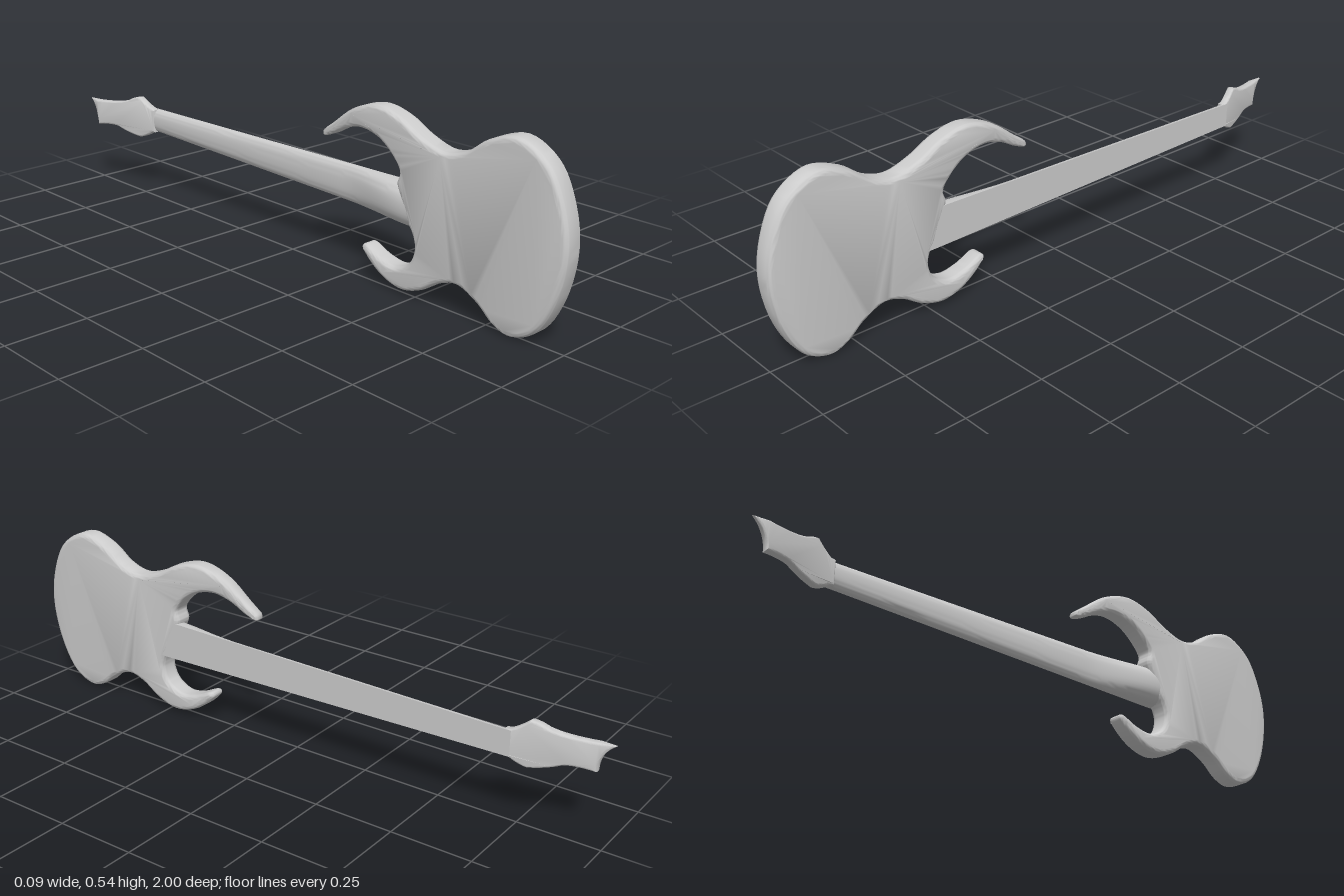
import * as THREE from 'three';
import { toCreasedNormals } from 'three/addons/utils/BufferGeometryUtils.js';

const material = new THREE.MeshStandardMaterial({ color: 0xcccccc, side: THREE.DoubleSide });
const FACE = 0.046; // x of the flat playing side
const BACK = -0.023; // x of the body's back

// Moves every vertex by a rule, then smooths normals up to the crease angle
function reshape(geometry, rule, crease) {
  const p = geometry.attributes.position;
  const v = new THREE.Vector3();
  for (let i = 0; i < p.count; i++) {
    rule(v.fromBufferAttribute(p, i));
    p.setXYZ(i, v.x, v.y, v.z);
  }
  geometry.deleteAttribute('normal');
  geometry.computeVertexNormals();
  return toCreasedNormals(geometry, crease);
}

// Extrudes a side profile (drawn with -z as its first axis) between two x values, edges rounded inwards
function slab(shape, x0, x1, bevelSize, bevelThickness, steps = 5) {
  const g = new THREE.ExtrudeGeometry(shape, {
    depth: x1 - x0 - 2 * bevelThickness, curveSegments: 10,
    bevelEnabled: true, bevelSize, bevelThickness, bevelOffset: -bevelSize, bevelSegments: steps,
  });
  g.translate(0, 0, x0 + bevelThickness);
  g.rotateY(Math.PI / 2);
  return g;
}

function makeBody() {
  // Outline as [z, y]: rear bouts, upper horn, neck joint, lower horn
  const outline = [
    [1, 0.275], [0.982, 0.39], [0.93, 0.49], [0.835, 0.541], [0.74, 0.515], [0.67, 0.468],
    [0.6, 0.45], [0.52, 0.472], [0.44, 0.512], [0.355, 0.53], [0.26, 0.503], [0.18, 0.447],
    [0.132, 0.409], [0.134, 0.397], [0.17, 0.407], [0.23, 0.438], [0.29, 0.452], [0.36, 0.438],
    [0.415, 0.4], [0.444, 0.36], [0.435, 0.328], [0.445, 0.3], [0.465, 0.26], [0.48, 0.22],
    [0.497, 0.193], [0.506, 0.155], [0.487, 0.107], [0.435, 0.08], [0.375, 0.089],
    [0.313, 0.114], [0.304, 0.105], [0.33, 0.073], [0.39, 0.034], [0.46, 0.018], [0.53, 0.037],
    [0.6, 0.079], [0.66, 0.093], [0.73, 0.062], [0.78, 0.022], [0.835, 0.004], [0.91, 0.034],
    [0.97, 0.13],
  ];
  const curve = new THREE.CatmullRomCurve3(
    outline.map(([z, y]) => new THREE.Vector3(-z, y, 0)), true, 'centripetal');
  const shape = new THREE.Shape(curve.getPoints(220).slice(0, -1).map((p) => new THREE.Vector2(p.x, p.y)));
  // The horns grow thinner towards their tips
  const g = reshape(slab(shape, BACK, FACE, 0.015, 0.016, 6), (v) => {
    const t = THREE.MathUtils.clamp((v.z - 0.12) / 0.43, 0, 1);
    const scale = 1 - 0.48 * (1 - t) ** 2;
    v.x = 0.01 + (v.x - 0.01) * scale;
  }, 0.7);
  return new THREE.Mesh(g, material);
}

function makeNeck() {
  // D-shaped sections: flat fingerboard, round back deepening into the heel
  const rings = 40, sides = 18;
  const pos = [], index = [];
  for (let i = 0; i <= rings; i++) {
    const z = i < 26 ? 0.6 - i * 0.02 : 0.1 - ((i - 25) / (rings - 25)) * 0.835;
    const k = THREE.MathUtils.clamp((0.47 - z) / 1.19, 0, 1);
    const half = THREE.MathUtils.lerp(0.061, 0.039, k);
    const heel = THREE.MathUtils.smoothstep(z, 0.2, 0.47);
    const front = FACE - 0.001;
    const depth = THREE.MathUtils.lerp(0.025, front - BACK - 0.001, heel);
    for (let j = 0; j <= sides; j++) {
      const a = (j / sides) * Math.PI;
      const c = Math.cos(a);
      pos.push(front - depth * Math.sin(a) ** 0.7, 0.259 + half * Math.sign(c) * Math.abs(c) ** 0.85, z);
    }
  }
  const n = sides + 1;
  for (let i = 0; i < rings; i++) {
    for (let j = 0; j < n; j++) {
      const a = i * n + j, b = i * n + ((j + 1) % n);
      index.push(a, a + n, b, a + n, b + n, b);
    }
  }
  const g = new THREE.BufferGeometry();
  g.setAttribute('position', new THREE.Float32BufferAttribute(pos, 3));
  g.setIndex(index);
  g.computeVertexNormals();
  return new THREE.Mesh(toCreasedNormals(g, 0.8), material);
}

function makeHeadstock() {
  const s = new THREE.Shape();
  s.moveTo(0.715, 0.22);
  s.lineTo(0.73, 0.218);
  s.quadraticCurveTo(0.755, 0.2, 0.78, 0.194);
  s.quadraticCurveTo(0.83, 0.2, 0.87, 0.218);
  s.quadraticCurveTo(0.9, 0.224, 0.955, 0.214);
  s.quadraticCurveTo(0.955, 0.27, 1, 0.3);
  s.quadraticCurveTo(0.88, 0.298, 0.825, 0.318);
  s.quadraticCurveTo(0.8, 0.333, 0.78, 0.334);
  s.quadraticCurveTo(0.755, 0.312, 0.73, 0.3);
  s.lineTo(0.715, 0.298);
  // Tilts back from the nut and thins to the pointed tip
  const front = FACE - 0.001;
  const g = reshape(slab(s, front - 0.027, front, 0.006, 0.007, 4), (v) => {
    const thin = 1 - 0.75 * THREE.MathUtils.clamp((-0.955 - v.z) / 0.045, 0, 1);
    v.x = front + (v.x - front) * thin + 0.29 * Math.min(0, v.z + 0.73);
  }, 0.6);
  return new THREE.Mesh(g, material);
}

export function createModel() {
  const guitar = new THREE.Group();
  guitar.name = 'guitar';
  const parts = { body: makeBody(), neck: makeNeck(), headstock: makeHeadstock() };
  for (const [name, mesh] of Object.entries(parts)) {
    mesh.name = name;
    guitar.add(mesh);
  }
  return guitar;
}
